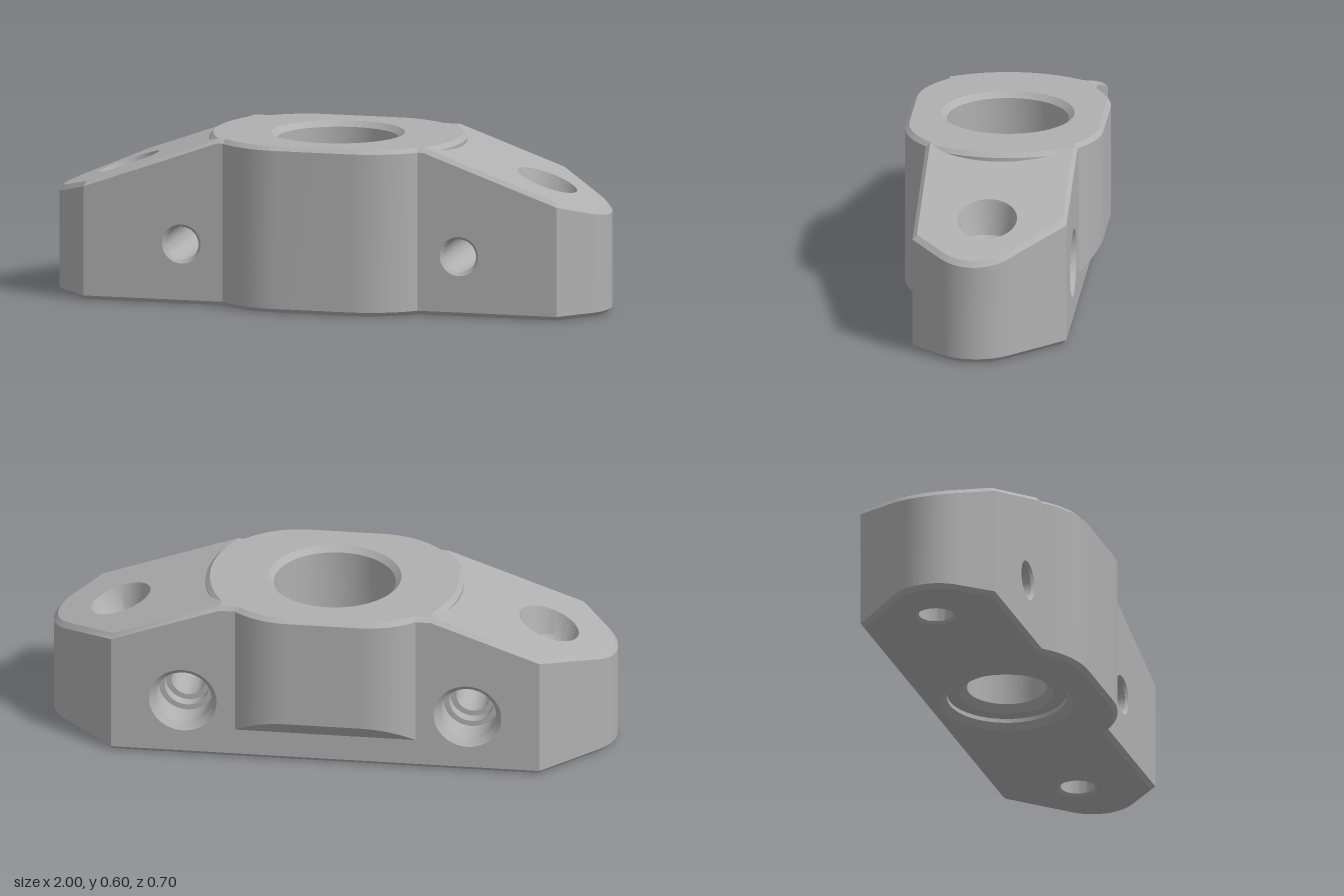
import * as THREE from 'three';
import { toCreasedNormals } from 'three/addons/utils/BufferGeometryUtils.js';

const C = 0.015;                       // edge chamfer
const TOP = 0.595, BREAK = 0.375;      // flat top height, x where the slope starts
const FRONT = 0.255, BACK = -0.28;     // flat wall planes
const PIN_X = 0.76, BOLT_X = 0.505, BOLT_Y = 0.215, BOSS_R = 0.455;
const EPS = 1e-4;

const topY = x => Math.abs(x) < BREAK ? TOP : TOP - 0.36 * (Math.abs(x) - BREAK);
const underY = z => 0.11 + (BACK - z); // 45 degree underside of the rear bulge

function arc(cx, cz, r, a0, a1, n) {
  return Array.from({ length: n + 1 }, (_, i) => {
    const a = a0 + (a1 - a0) * i / n;
    return [cx + r * Math.cos(a), cz + r * Math.sin(a)];
  });
}

// Bulge profile, tangent to z = 0.35 at x = 0.13, ending at (x, z)
function bulge(x, z) {
  const dx = x - 0.13, dz = 0.35 - z, r = (dx * dx + dz * dz) / (2 * dz);
  return arc(0.13, 0.35 - r, r, Math.PI / 2, Math.PI / 2 - Math.asin(dx / r), 12);
}

const mirrored = half => [...half, ...half.map(([x, z]) => [-x, z]).reverse()];

// Miter inset of a closed (x, z) outline
function inset(pts, d) {
  const n = pts.length;
  const normal = (a, b) => {
    const dx = b[0] - a[0], dz = b[1] - a[1], l = Math.hypot(dx, dz);
    return [dz / l, -dx / l];
  };
  return pts.map((p, i) => {
    const u = normal(pts[(i + n - 1) % n], p), v = normal(p, pts[(i + 1) % n]);
    const k = d / (1 + u[0] * v[0] + u[1] * v[1]);
    return [p[0] + (u[0] + v[0]) * k, p[1] + (u[1] + v[1]) * k];
  });
}

// Band of quads between two closed loops of [x, y, z]
function band(low, high, skip = () => false) {
  const v = [];
  low.forEach((a, i) => {
    const j = (i + 1) % low.length;
    if (skip(i, j)) return;
    v.push(...a, ...low[j], ...high[j], ...a, ...high[j], ...high[i]);
  });
  const g = new THREE.BufferGeometry();
  g.setAttribute('position', new THREE.Float32BufferAttribute(v, 3));
  g.computeVertexNormals();
  return toCreasedNormals(g, 0.5);
}

function shapeOf(pts, holes = []) {
  const s = new THREE.Shape(pts.map(p => new THREE.Vector2(p[0], p[1])));
  for (const [x, y, r] of holes) s.holes.push(new THREE.Path().absarc(x, y, r, 0, Math.PI * 2, true));
  return new THREE.ShapeGeometry(s, 24);
}

// Horizontal or tilted face whose height follows y(x, z)
function plate(pts, holes, y, up) {
  const k = up ? -1 : 1;
  const g = shapeOf(pts.map(([x, z]) => [x, k * z]), holes).rotateX(k * Math.PI / 2);
  const p = g.attributes.position;
  for (let i = 0; i < p.count; i++) p.setY(i, y(p.getX(i), p.getZ(i)));
  g.computeVertexNormals();
  return g;
}

const lathe = (pts, ...args) =>
  new THREE.LatheGeometry(pts.map(p => new THREE.Vector2(...p)), 48, ...args);

export function createModel() {
  const group = new THREE.Group();
  const metal = new THREE.MeshStandardMaterial({ color: 0xb0b0b0 });
  metal.name = 'grey metal';
  const add = (name, geo) => {
    const m = new THREE.Mesh(geo, metal);
    m.name = name;
    group.add(m);
    return m;
  };

  // Plan outlines: the rear bulge does not reach the bottom
  const end = [[0.86, FRONT], ...arc(0.825, 0.0325, 0.175, Math.PI / 4, -Math.PI / 4, 16), [0.76, BACK]];
  const frontHalf = [...bulge(0.355, FRONT), [BREAK, FRONT], ...end];
  const rearBulge = bulge(0.32, -BACK).map(([x, z]) => [x, -z]).reverse();
  const half = [...frontHalf, [BREAK, BACK], ...rearBulge];
  const outline = mirrored(half), foot = mirrored(frontHalf);
  const rim = inset(outline, C), footRim = inset(foot, C);

  // Curved and angled side walls; flat drilled walls are added separately
  const isRear = p => p[1] < BACK + EPS;
  const flat = (a, b) => Math.abs(a[1] - b[1]) < EPS &&
    [FRONT, BACK].some(z => Math.abs(a[1] - z) < EPS);
  const wallTop = outline.map(([x, z]) => [x, topY(x) - C, z]);
  const wallLow = outline.map(p => [p[0], isRear(p) ? underY(p[1]) : C, p[1]]);
  // The rear corners of the ends stand on the foot
  const endLow = outline.map(([x, z]) => [x, C, z]);
  const onBulge = (i, j) => isRear(outline[i]) && isRear(outline[j]);
  const isFlat = (i, j) => flat(outline[i], outline[j]);
  add('sideWalls', band(endLow, wallTop, (i, j) => isFlat(i, j) || onBulge(i, j)));
  add('rearBulgeWall', band(wallLow, wallTop, (i, j) => isFlat(i, j) || !onBulge(i, j)));
  add('topChamfer', band(wallTop, rim.map(([x, z]) => [x, topY(x), z])));
  add('bottomChamfer', band(footRim.map(([x, z]) => [x, 0, z]), foot.map(([x, z]) => [x, C, z])));
  add('rearBulgeUnderside', plate(mirrored(rearBulge).reverse(), [], (x, z) => underY(z), false));

  // Flat front walls with bolt holes
  for (const s of [1, -1]) {
    const pts = [[0.355, C], [0.86, C], [0.86, topY(0.86) - C], [BREAK, TOP - C], [0.355, TOP - C]];
    add('frontWall', shapeOf(pts.map(([x, y]) => [s * x, y]), [[s * BOLT_X, BOLT_Y, 0.07]]))
      .position.z = FRONT;
  }

  // Flat rear wall, running beneath the bulge
  const rearHalf = [[0.76, C], [0.76, topY(0.76) - C], [BREAK, TOP - C], [0.32, TOP - C], [0.32, 0.11]];
  const rear = add('rearWall', shapeOf(mirrored(rearHalf),
    [1, -1].map(s => [s * BOLT_X, BOLT_Y, 0.12])).rotateY(Math.PI));
  rear.position.z = BACK;

  // Top: middle with the round boss, and two sloping wings
  const rimHalf = rim.slice(0, half.length);
  const mid = rimHalf.filter(p => p[0] < BREAK + EPS);
  const bossAngle = Math.acos(BREAK / (BOSS_R - C));
  const midHalf = [...mid.filter(p => p[1] > 0),
    ...arc(0, 0, BOSS_R - C, bossAngle, -bossAngle, 20), ...mid.filter(p => p[1] < 0)];
  add('middleTop', plate(mirrored(midHalf), [[0, 0, 0.235]], () => TOP, true));
  const wing = rimHalf.filter(p => p[0] > BREAK - EPS);
  for (const s of [1, -1]) {
    add('slopingTop', plate(wing.map(([x, z]) => [s * x, z]), [[s * PIN_X, 0, 0.105]],
      x => TOP - 0.36 * (Math.abs(x) - BREAK), true));
    add('bossRim', toCreasedNormals(lathe([[BOSS_R, 0.55], [BOSS_R, TOP - C], [BOSS_R - C, TOP]],
      s * Math.PI / 2 - 0.57, 1.14), 0.5));
  }

  // Underside
  add('underside', plate(footRim, [[0, 0, 0.235], [PIN_X, 0, 0.07], [-PIN_X, 0, 0.07]], () => 0, false));

  // Stepped centre bore
  add('centreBore', toCreasedNormals(lathe([[0.235, TOP], [0.215, 0.575], [0.215, 0.2], [0.165, 0.2],
    [0.14, 0.175], [0.14, 0.06], [0.165, 0.035], [0.21, 0.035], [0.21, 0.02], [0.235, 0]]), 0.5));

  for (const s of [1, -1]) {
    // Countersunk pin hole, its rim following the slope
    const pin = lathe([[0.105, 1], [0.08, 0.37], [0.06, 0.35], [0.06, 0.01], [0.07, 0]]);
    pin.translate(s * PIN_X, 0, 0);
    const p = pin.attributes.position;
    for (let i = 0; i < p.count; i++) if (p.getY(i) > 0.9) p.setY(i, topY(p.getX(i)));
    add('pinHole', toCreasedNormals(pin, 0.5));

    // Bolt hole with stepped counterbore at the rear
    const bolt = lathe([[0.07, FRONT], [0.06, 0.245], [0.06, -0.12], [0.08, -0.12],
      [0.08, -0.16], [0.1, -0.16], [0.1, -0.26], [0.12, BACK]]);
    bolt.rotateX(Math.PI / 2).translate(s * BOLT_X, BOLT_Y, 0);
    add('boltHole', toCreasedNormals(bolt, 0.5));
  }
  return group;
}
